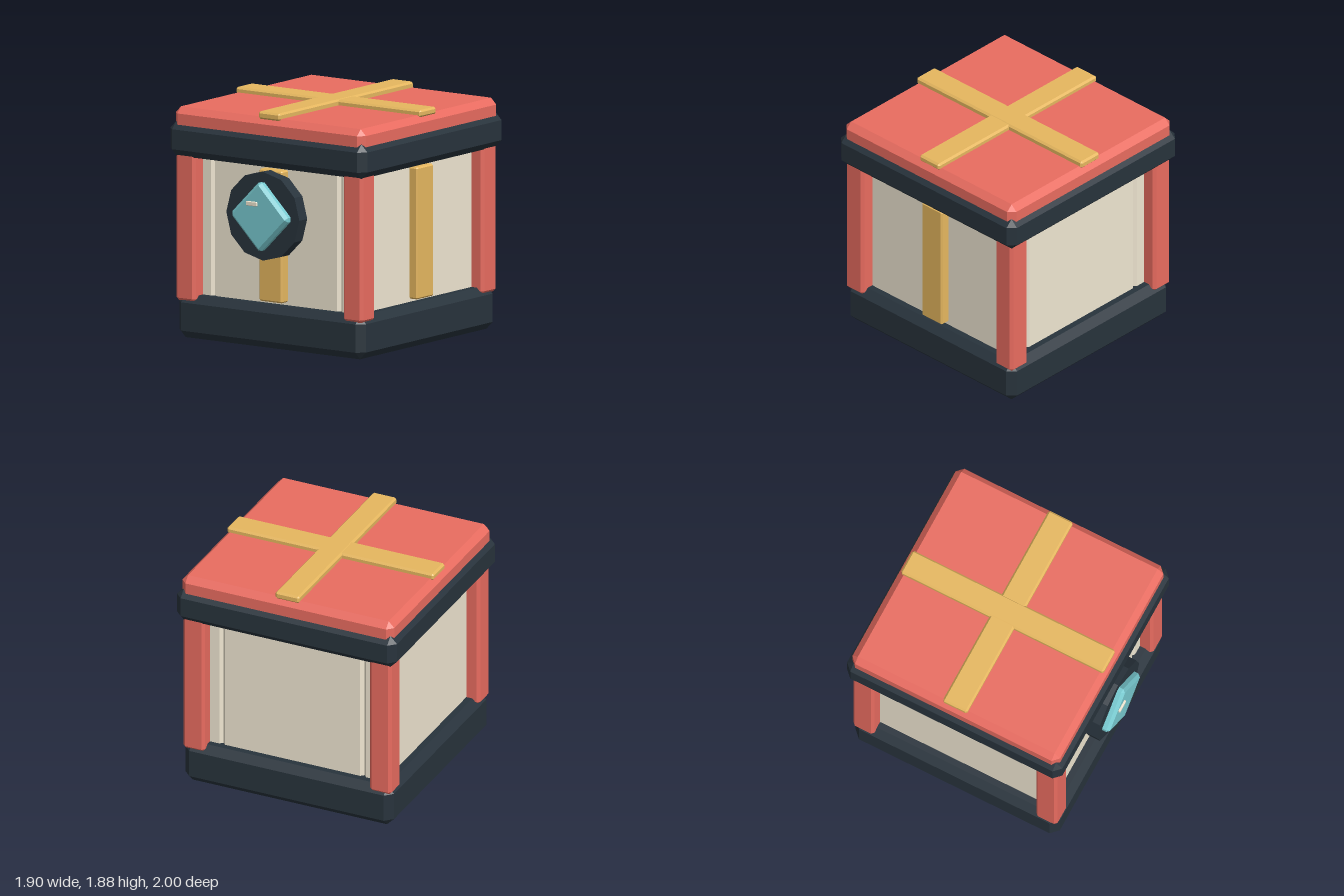
import * as THREE from 'three';
import { ConvexGeometry } from 'three/addons/geometries/ConvexGeometry.js';

const paint = (color) => new THREE.MeshStandardMaterial({ color, flatShading: true });

// Box with every edge cut by a flat chamfer c
function chamferBox(w, h, d, c) {
  const points = [];
  const [x, y, z] = [w / 2, h / 2, d / 2];
  for (const sx of [-1, 1]) for (const sy of [-1, 1]) for (const sz of [-1, 1]) {
    points.push(
      new THREE.Vector3(sx * x, sy * (y - c), sz * (z - c)),
      new THREE.Vector3(sx * (x - c), sy * y, sz * (z - c)),
      new THREE.Vector3(sx * (x - c), sy * (y - c), sz * z));
  }
  return new ConvexGeometry(points);
}

export function createModel() {
  const model = new THREE.Group();
  model.name = 'giftBox';
  const red = paint(0xe96c60), dark = paint(0x28333c), cream = paint(0xf0e7d2);
  const gold = paint(0xe6b75f), teal = paint(0x78cad0);

  function add(name, geometry, material, x, y, z) {
    const mesh = new THREE.Mesh(geometry, material);
    mesh.name = name;
    mesh.position.set(x, y, z);
    model.add(mesh);
    return mesh;
  }

  // Chamfered block given by its extents on each axis
  function block(name, material, [x0, x1], [y0, y1], [z0, z1], c) {
    return add(name, chamferBox(x1 - x0, y1 - y0, z1 - z0, c), material,
      (x0 + x1) / 2, (y0 + y1) / 2, (z0 + z1) / 2);
  }

  // Base, lid rim and lid
  block('base', dark, [-0.902, 0.902], [0, 0.345], [-0.952, 0.852], 0.06);
  block('lidRim', dark, [-0.952, 0.952], [1.445, 1.72], [-1, 0.902], 0.058);
  block('lid', red, [-0.918, 0.918], [1.6, 1.835], [-0.968, 0.868], 0.05);

  // Body: three slabs whose chamfers form the grooves on front and back
  block('bodyCentre', cream, [-0.61, 0.61], [0.2, 1.6], [-0.84, 0.74], 0.025);
  block('bodyLeft', cream, [0.61, 0.79], [0.2, 1.6], [-0.84, 0.74], 0.025);
  block('bodyRight', cream, [-0.79, -0.61], [0.2, 1.6], [-0.84, 0.74], 0.025);

  // Corner posts
  for (const sx of [-1, 1]) for (const sz of [-1, 1]) {
    add('cornerPost', chamferBox(0.187, 1.25, 0.187, 0.022), red,
      sx * 0.808, 0.922, -0.05 + sz * 0.808);
  }

  // Ribbons over the lid, down the front and down the left side
  block('lidRibbonAcross', gold, [-0.895, 0.895], [1.818, 1.876], [-0.158, 0.058], 0.015);
  block('lidRibbonLengthwise', gold, [-0.104, 0.104], [1.818, 1.88], [-0.945, 0.847], 0.015);
  block('frontRibbon', gold, [-0.112, 0.112], [0.37, 1.42], [0.73, 0.825], 0.012);
  block('sideRibbon', gold, [0.78, 0.866], [0.37, 1.42], [-0.16, 0.062], 0.012);

  // Twelve-sided clasp plate
  const plate = new THREE.CylinderGeometry(0.353, 0.353, 0.105, 12);
  plate.rotateX(Math.PI / 2);
  add('claspPlate', plate, dark, 0, 1.068, 0.8725);

  // Gem set on its corner, with a small highlight
  const gem = chamferBox(0.406, 0.406, 0.085, 0.025);
  gem.rotateZ(Math.PI / 4);
  add('gem', gem, teal, 0, 1.068, 0.9425);
  block('gemHighlight', cream, [-0.112, -0.008], [1.153, 1.188], [0.97, 1], 0.004);

  return model;
}
